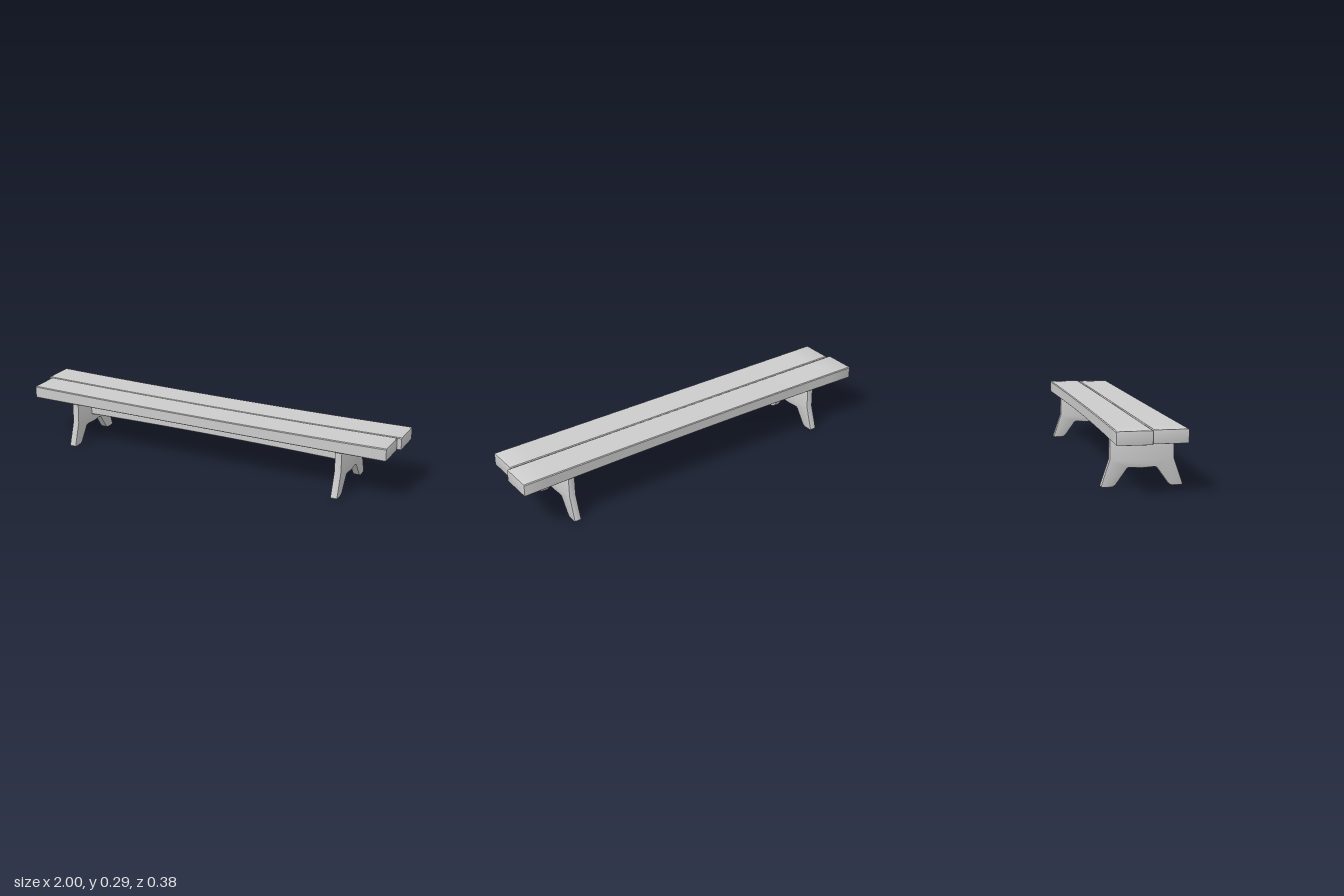
import * as THREE from 'three';
import { toCreasedNormals } from 'three/addons/utils/BufferGeometryUtils.js';

const material = new THREE.MeshStandardMaterial({ color: 0xcccccc });

// Bevelled extrusion of an outline of [z, y] points, running along x and centred on it
function extrudeAlongX(outline, length, bevel, steps) {
  const shape = new THREE.Shape(outline.map(([z, y]) => new THREE.Vector2(-z, y)));
  const geometry = new THREE.ExtrudeGeometry(shape, {
    depth: length - 2 * bevel, steps, bevelEnabled: true,
    bevelThickness: bevel, bevelSize: bevel, bevelOffset: -bevel, bevelSegments: 2,
  });
  geometry.translate(0, 0, bevel - length / 2);
  geometry.rotateY(Math.PI / 2);
  // the rotation maps shape x to -z
  return geometry;
}

// Rectangular beam whose faces bow towards the middle of its length
function beam(name, { length, z0, z1, y0, y1, bow, bevel = 0.004 }) {
  const c = bevel;
  const geometry = extrudeAlongX([
    [z1, y0 + c], [z1 - c, y0], [z0 + c, y0], [z0, y0 + c],
    [z0, y1 - c], [z0 + c, y1], [z1 - c, y1], [z1, y1 - c],
  ], length, bevel, 16);
  const p = geometry.attributes.position;
  for (let i = 0; i < p.count; i++) {
    const k = 1 - (2 * p.getX(i) / length) ** 2;
    const tz = (p.getZ(i) - z0) / (z1 - z0);
    const ty = (p.getY(i) - y0) / (y1 - y0);
    p.setZ(i, p.getZ(i) + k * THREE.MathUtils.lerp(bow.z0, bow.z1, tz));
    p.setY(i, p.getY(i) + k * THREE.MathUtils.lerp(bow.y0, bow.y1, ty));
  }
  const mesh = new THREE.Mesh(toCreasedNormals(geometry, 0.5), material);
  mesh.name = name;
  return mesh;
}

// Splayed trestle leg with a notch between its feet
function trestle(name, x) {
  const half = [
    [0.068, 0.088], [0.06, 0.087], [0.07, 0.083], [0.122, 0.01], [0.134, 0.002],
    [0.14, 0], [0.186, 0], [0.19, 0.006], [0.15, 0.125], [0.148, 0.235],
  ].slice(2);
  const side = [[0, 0.084], [0.055, 0.088], [0.064, 0.087], ...half];
  const mirrored = side.slice(1).reverse().map(([z, y]) => [-z, y]);
  const geometry = extrudeAlongX([...side, ...mirrored].reverse(), 0.036, 0.005, 1);
  const mesh = new THREE.Mesh(toCreasedNormals(geometry, 0.6), material);
  mesh.name = name;
  mesh.position.x = x;
  return mesh;
}

export function createModel() {
  const bench = new THREE.Group();
  bench.name = 'bench';

  // Seat planks, slightly different in length and both bowed forwards
  bench.add(beam('backPlank', {
    length: 2, z0: -0.168, z1: -0.004, y0: 0.229, y1: 0.293,
    bow: { z0: 0.013, z1: 0.009, y0: 0.002, y1: -0.005 },
  }));
  bench.add(beam('frontPlank', {
    length: 1.96, z0: 0, z1: 0.161, y0: 0.229, y1: 0.293,
    bow: { z0: 0.007, z1: 0.007, y0: 0.002, y1: -0.005 },
  }));

  // Trestle legs
  bench.add(trestle('leftLeg', 0.74), trestle('rightLeg', -0.74));

  // Stretcher between the legs, a little slimmer in the middle
  bench.add(beam('stretcher', {
    length: 1.46, z0: -0.02, z1: 0.02, y0: 0.13, y1: 0.206,
    bow: { z0: 0.002, z1: -0.002, y0: 0.007, y1: -0.008 },
  }));

  return bench;
}
